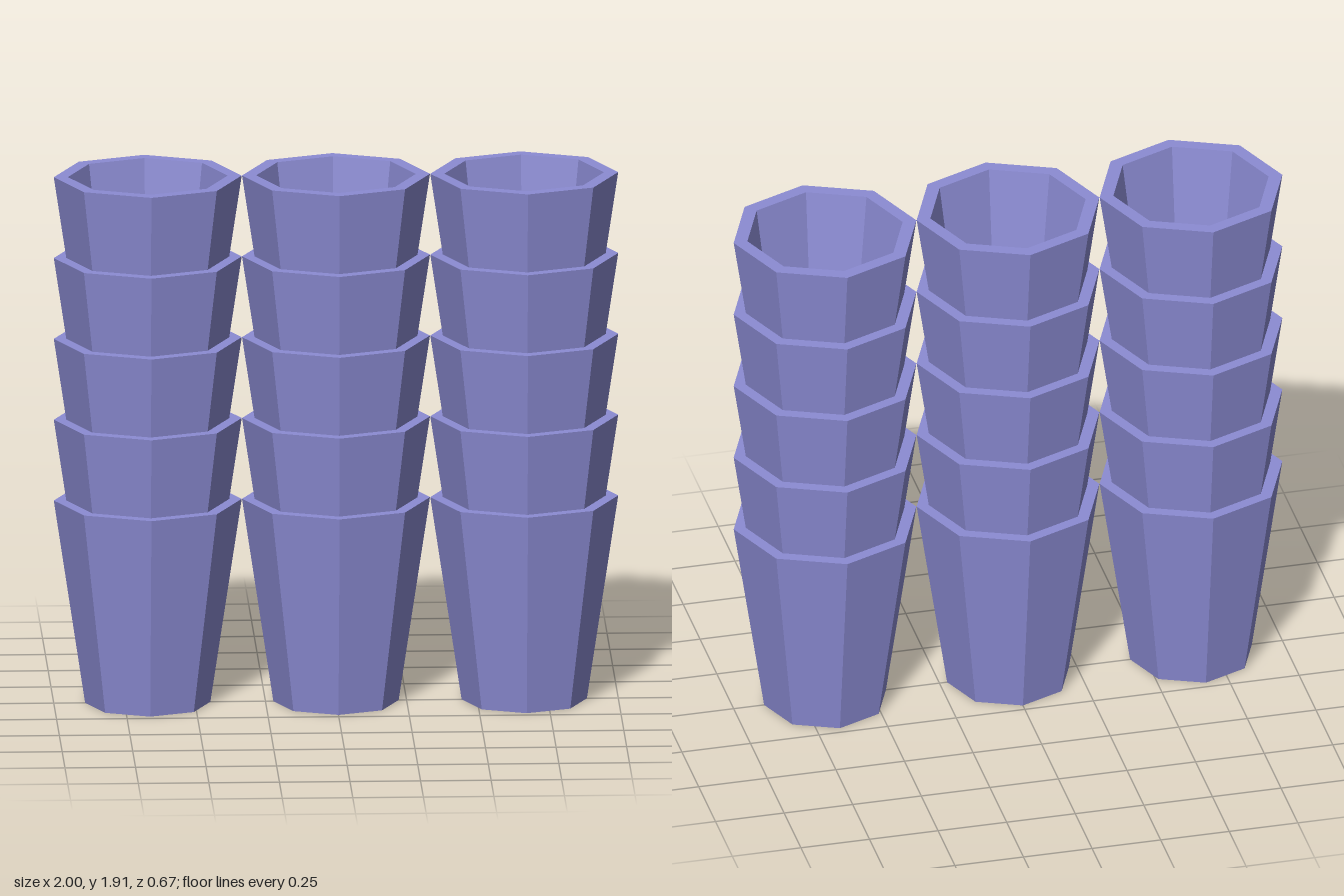
import * as THREE from 'three';

const TOP_R = 0.333, BASE_R = 0.222, HEIGHT = 0.737;
const INNER_TOP_R = 0.283, INNER_BASE_R = 0.193, FLOOR = 0.08;
const STEP = 0.294, LEVELS = 5, SPACING = 0.667;

export function createModel() {
  const group = new THREE.Group();
  group.name = 'stackedCups';
  const material = new THREE.MeshStandardMaterial({ color: 0x8c8cd4, flatShading: true });

  // Eight-sided tapered cup: base, outer wall, rim, inner wall, floor
  const profile = [
    [0, 0], [BASE_R, 0], [TOP_R, HEIGHT],
    [INNER_TOP_R, HEIGHT], [INNER_BASE_R, FLOOR], [0, FLOOR],
  ].map(([r, y]) => new THREE.Vector2(r, y));
  const cupGeometry = new THREE.LatheGeometry(profile, 8);

  // Three stacks side by side, each of five nested cups
  ['right', 'middle', 'left'].forEach((side, i) => {
    const stack = new THREE.Group();
    stack.name = `${side}Stack`;
    stack.position.x = (i - 1) * SPACING;
    for (let level = 0; level < LEVELS; level++) {
      const cup = new THREE.Mesh(cupGeometry, material);
      cup.name = `${side}Cup${level + 1}`;
      cup.position.y = level * STEP;
      stack.add(cup);
    }
    group.add(stack);
  });
  return group;
}
